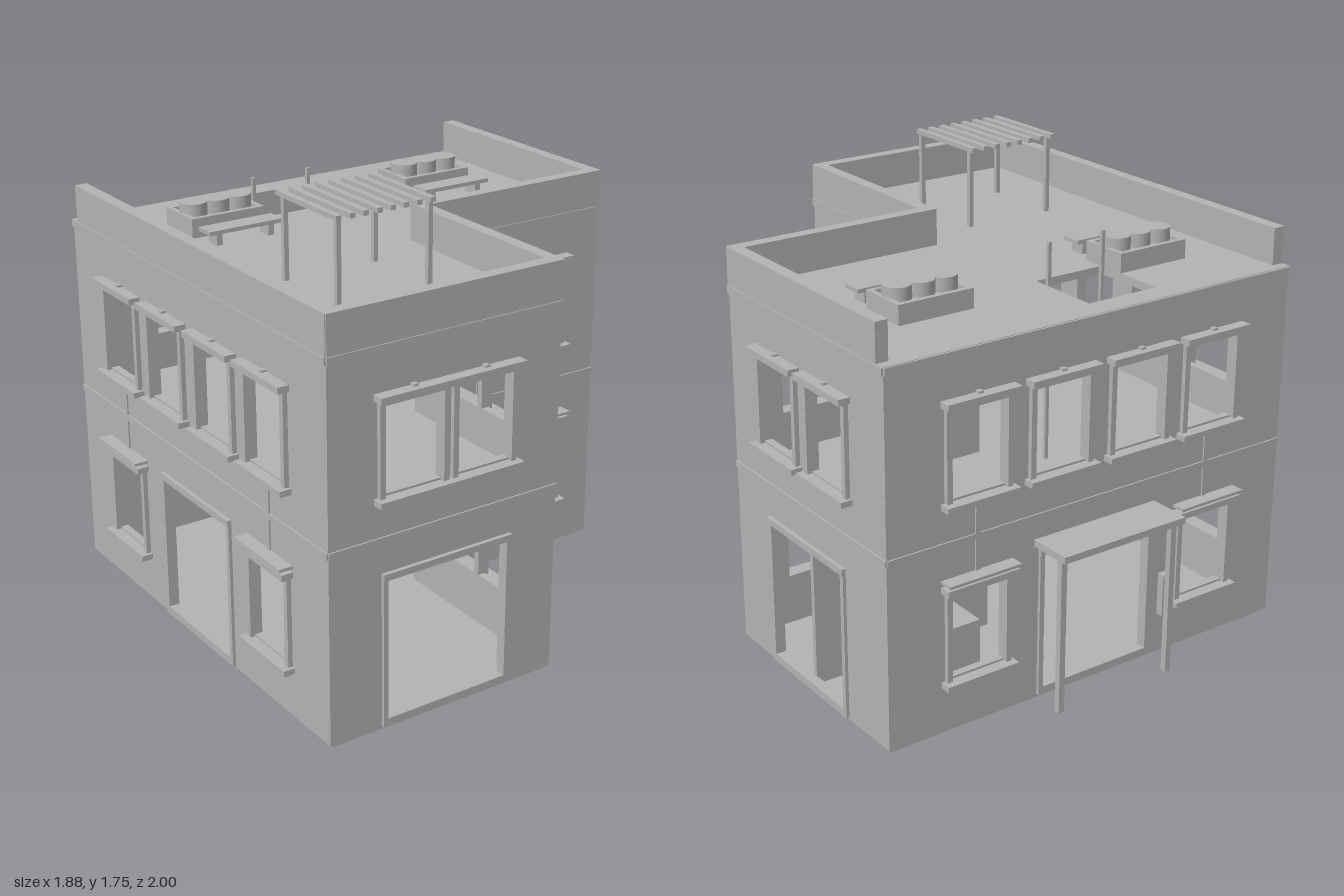
import * as THREE from 'three';

const grey = new THREE.MeshStandardMaterial({ color: 0xb3b3b3 });
grey.name = 'plain grey';

// box given by its minimum and maximum on each axis
function slab(parent, name, x0, x1, y0, y1, z0, z1) {
  const m = new THREE.Mesh(new THREE.BoxGeometry(x1 - x0, y1 - y0, z1 - z0), grey);
  m.position.set((x0 + x1) / 2, (y0 + y1) / 2, (z0 + z1) / 2);
  m.name = name;
  parent.add(m);
  return m;
}

function rectPath(PathType, u0, u1, v0, v1) {
  const p = new PathType();
  p.moveTo(u0, v0);
  p.lineTo(u1, v0);
  p.lineTo(u1, v1);
  p.lineTo(u0, v1);
  p.closePath();
  return p;
}

const FLOORS = { upper: [0.9, 1.22], lower: [0.22, 0.54] };
const WALL = 0.03;

// trim around one window unit of one or two lights: jambs, lintel, sill, hood
function windowTrim(wall, lights, level) {
  const [v0, v1] = FLOORS[level];
  const a = lights[0][0], b = lights[lights.length - 1][1];
  const g = new THREE.Group();
  g.name = level + 'Window';
  for (const [l, r] of lights) {
    slab(g, 'jamb', l - 0.022, l, v0 - 0.01, v1 + 0.02, -WALL, 0.018);
    slab(g, 'jamb', r, r + 0.022, v0 - 0.01, v1 + 0.02, -WALL, 0.018);
    slab(g, 'topRail', l, r, v1, v1 + 0.02, -WALL, 0.018);
  }
  slab(g, 'lintel', a - 0.036, b + 0.036, v1 + 0.018, v1 + 0.042, 0, 0.045);
  slab(g, 'sill', a - 0.036, b + 0.036, v0 - 0.03, v0 - 0.008, 0, 0.045);
  slab(g, 'keyBlock', (a + b) / 2 - 0.01, (a + b) / 2 + 0.01, v1 + 0.042, v1 + 0.05, 0, 0.02);
  if (level === 'lower') slab(g, 'hood', a - 0.036, b + 0.036, 0.595, 0.606, 0, 0.055);
  wall.add(g);
}

// wall in local u (along), y (up), outward = +z; with openings, trim and string bands
function makeWall(root, name, pos, rotY, u0, u1, { upper = [], lower = [], door, strips = [], parapet }) {
  const wall = new THREE.Group();
  wall.name = name;
  const shape = rectPath(THREE.Shape, u0, u1, 0.015, 1.43);
  for (const [units, level] of [[upper, 'upper'], [lower, 'lower']]) {
    for (const lights of units) {
      for (const [l, r] of lights) shape.holes.push(rectPath(THREE.Path, l, r, ...FLOORS[level]));
      windowTrim(wall, lights, level);
    }
  }
  if (door) {
    const [l, r] = door;
    shape.holes.push(rectPath(THREE.Path, l, r, 0.05, 0.585));
    slab(wall, 'doorJamb', l - 0.02, l, 0.05, 0.61, -WALL, 0.012);
    slab(wall, 'doorJamb', r, r + 0.02, 0.05, 0.61, -WALL, 0.012);
    slab(wall, 'doorHead', l - 0.02, r + 0.02, 0.585, 0.61, -WALL, 0.016);
    slab(wall, 'doorStep', l - 0.02, r + 0.02, 0.02, 0.05, -WALL, 0.012);
  }
  const geo = new THREE.ExtrudeGeometry(shape, { depth: WALL, bevelEnabled: false });
  geo.translate(0, 0, -WALL);
  const panel = new THREE.Mesh(geo, grey);
  panel.name = 'wallPanel';
  wall.add(panel);
  slab(wall, 'cornice', u0, u1, 1.4, 1.428, -0.01, 0.008);
  slab(wall, 'storeyBand', u0, u1, 0.722, 0.746, -0.01, 0.006);
  for (const s of strips) {
    slab(wall, 'verticalStrip', s - 0.01, s + 0.01, 0.606, 0.722, -0.01, 0.006);
    slab(wall, 'verticalStrip', s - 0.01, s + 0.01, 0.746, 0.87, -0.01, 0.006);
  }
  if (parapet) slab(wall, 'parapet', parapet[0], parapet[1], 1.428, 1.572, -0.045, 0.004);
  wall.position.set(...pos);
  wall.rotation.y = rotY;
  root.add(wall);
}

// L-shaped floor plate, optionally with a rectangular opening [x0, x1, z0, z1]
function plate(root, name, y0, y1, inset, hole) {
  const s = new THREE.Shape();
  const L = -0.88 + inset, R = 0.895 - inset, B = -0.828 + inset, F = 0.952 - inset;
  const ix = 0.07 - inset, iz = 0.175 - inset;
  [[L, B], [L, F], [ix, F], [ix, iz], [R, iz], [R, B]].forEach(([x, z], i) =>
    i ? s.lineTo(x, -z) : s.moveTo(x, -z));
  s.closePath();
  if (hole) s.holes.push(rectPath(THREE.Path, hole[0], hole[1], -hole[3], -hole[2]));
  const g = new THREE.ExtrudeGeometry(s, { depth: y1 - y0, bevelEnabled: false });
  g.rotateX(-Math.PI / 2);
  const m = new THREE.Mesh(g, grey);
  m.position.y = y0;
  m.name = name;
  root.add(m);
}

export function createModel() {
  const root = new THREE.Group();
  root.name = 'house';
  const H = Math.PI / 2;

  // floors and roof deck
  plate(root, 'groundSlab', 0, 0.02, 0.012);
  plate(root, 'upperFloor', 0.722, 0.745, 0.01);
  plate(root, 'roofDeck', 1.4, 1.43, 0.004, [-0.32, -0.02, -0.73, -0.43]);

  // outer walls
  makeWall(root, 'wingFrontWall', [0, 0, 0.952], 0, -0.88, 0.07, {
    upper: [[[-0.665, -0.43]], [[-0.37, -0.145]]], door: [-0.65, -0.15], parapet: [-0.88, 0.07],
  });
  const pair = [[0.205, 0.43], [0.48, 0.71]];
  makeWall(root, 'mainFrontWall', [0, 0, 0.175], 0, 0.04, 0.895, {
    upper: [pair], lower: [pair], strips: [0.32, 0.59], parapet: [0.025, 0.895],
  });
  const sidePair = [[-0.785, -0.56], [-0.535, -0.305]];
  makeWall(root, 'wingSideWall', [0.07, 0, 0], H, -0.952, -0.175, {
    upper: [sidePair], lower: [sidePair], strips: [-0.68, -0.42], parapet: [-0.952, -0.175],
  });
  makeWall(root, 'mainSideWall', [0.895, 0, 0], H, -0.175, 0.828, {
    upper: [[[0.04, 0.265]], [[0.365, 0.59]]], door: [0.08, 0.55], parapet: [-0.175, 0.79],
  });
  makeWall(root, 'longSideWall', [-0.88, 0, 0], -H, -0.828, 0.952, {
    upper: [[[-0.57, -0.34]], [[-0.225, 0.005]], [[0.125, 0.355]], [[0.465, 0.695]]],
    lower: [[[-0.57, -0.34]], [[0.465, 0.695]]], door: [-0.16, 0.3],
    strips: [-0.455, 0.58], parapet: [-0.79, 0.952],
  });
  makeWall(root, 'backWall', [0, 0, -0.828], Math.PI, -0.895, 0.88, {
    upper: [[[-0.64, -0.41]], [[-0.29, -0.06]], [[0.06, 0.29]], [[0.4, 0.625]]],
    lower: [[[-0.64, -0.41]], [[0.4, 0.625]]], door: [-0.24, 0.24], strips: [-0.525, 0.51],
  });

  // porch canopy and wall box at the back door
  const porch = new THREE.Group();
  porch.name = 'porch';
  slab(porch, 'canopy', -0.27, 0.28, 0.622, 0.648, -1.0, -0.82);
  for (const x of [-0.245, 0.255]) slab(porch, 'canopyPost', x - 0.012, x + 0.012, 0.01, 0.622, -0.968, -0.944);
  slab(porch, 'wallBox', -0.34, -0.305, 0.17, 0.34, -0.858, -0.82);
  root.add(porch);

  // roof pergola
  const pergola = new THREE.Group();
  pergola.name = 'pergola';
  for (const x of [-0.594, -0.221])
    for (const z of [0.255, 0.585]) slab(pergola, 'pergolaPost', x - 0.009, x + 0.009, 1.43, 1.735, z - 0.009, z + 0.009);
  for (let i = 0; i < 8; i++) {
    const x = -0.598 + i * 0.0543;
    slab(pergola, 'slat', x - 0.011, x + 0.011, 1.732, 1.75, 0.222, 0.602);
  }
  root.add(pergola);

  // planters with round shrubs, and benches
  for (const cx of [-0.475, 0.49]) {
    const g = new THREE.Group();
    g.name = 'planterAndBench';
    slab(g, 'planterFloor', -0.15, 0.15, 1.43, 1.49, -0.53, -0.35);
    for (const [z0, z1] of [[-0.54, -0.52], [-0.362, -0.342]]) slab(g, 'planterLongSide', -0.155, 0.155, 1.43, 1.505, z0, z1);
    for (const [a, b] of [[-0.155, -0.135], [0.135, 0.155]]) slab(g, 'planterEnd', a, b, 1.43, 1.505, -0.53, -0.35);
    for (const dx of [-0.095, 0, 0.095]) {
      const shrub = new THREE.Mesh(new THREE.CylinderGeometry(0.053, 0.053, 0.055, 24), grey);
      shrub.position.set(dx, 1.515, -0.44);
      shrub.name = 'shrub';
      g.add(shrub);
    }
    slab(g, 'benchSeat', -0.155, 0.155, 1.475, 1.49, -0.29, -0.208);
    for (const dx of [-0.11, 0.11]) slab(g, 'benchLeg', dx - 0.012, dx + 0.012, 1.43, 1.475, -0.28, -0.218);
    g.position.x = cx;
    root.add(g);
  }

  // hatch posts rising through the roof opening
  for (const x of [-0.29, -0.045]) slab(root, 'hatchPost', x - 0.007, x + 0.007, 0.745, 1.582, -0.475, -0.461);

  // interior partition and simple furniture
  slab(root, 'partition', 0.1, 0.87, 0.02, 0.722, -0.31, -0.29);
  slab(root, 'cabinet', 0.12, 0.27, 0.745, 1.04, -0.28, -0.1);
  slab(root, 'counter', 0.12, 0.3, 0.02, 0.285, -0.2, -0.12);
  slab(root, 'cupboard', 0.42, 0.7, 0.02, 0.32, -0.7, -0.5);
  return root;
}
